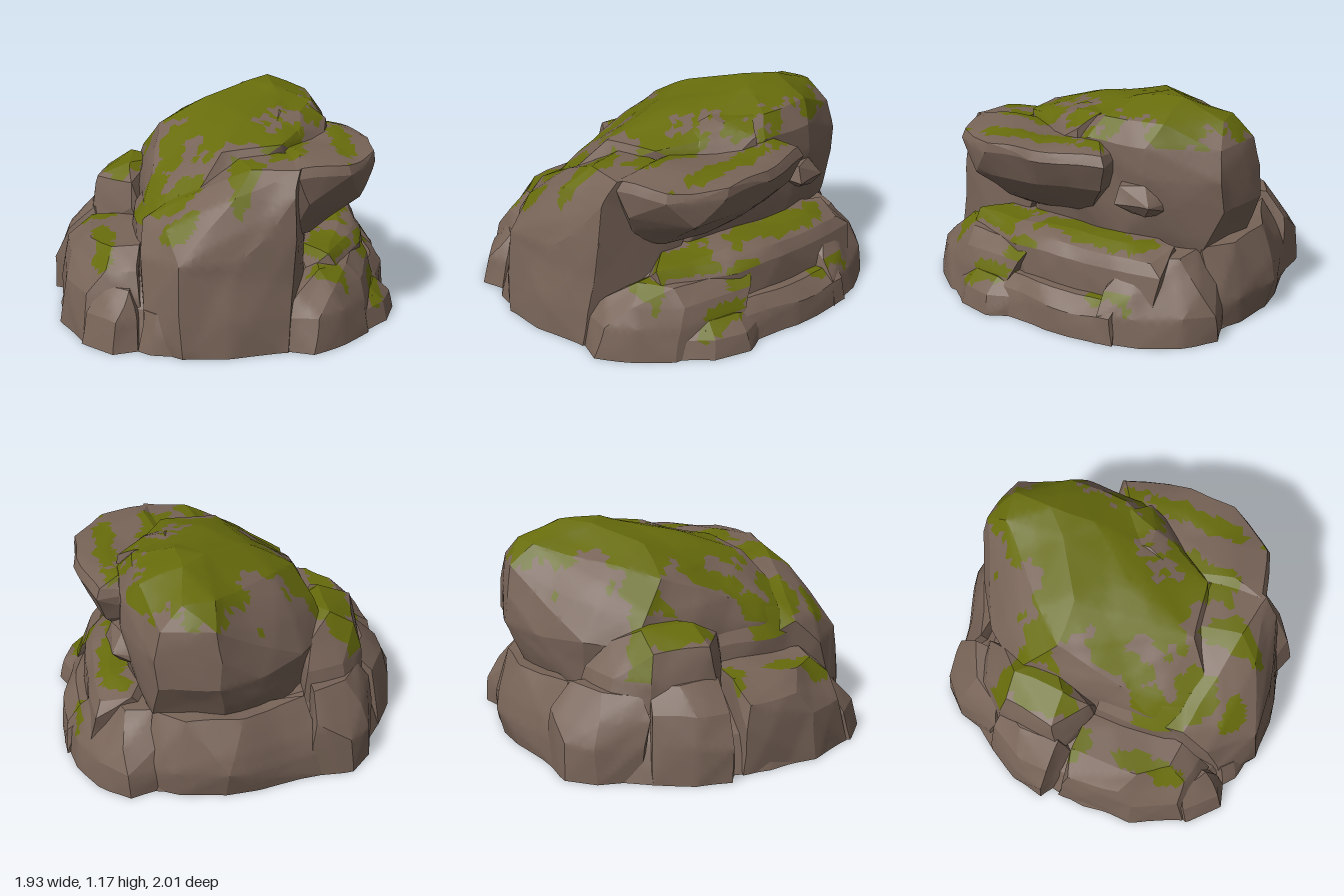
import * as THREE from 'three';
import { toCreasedNormals } from 'three/addons/utils/BufferGeometryUtils.js';
import { ConvexGeometry } from 'three/addons/geometries/ConvexGeometry.js';

// Each boulder: stacked outlines [height, [x, z, x, z, ...]] wrapped in a hull
const boulders = {
  baseCore: [
    [0, [-.9, .2, -.85, .5, -.7, .75, -.2, .95, .3, .88, .75, .6, .9, .1, .9, -.4, .6, -.86, .1, -.95, -.6, -.8, -.85, -.4]],
    [.2, [-.84, .2, -.6, .72, -.2, .9, .3, .82, .72, .5, .82, 0, .8, -.45, .55, -.8, .1, -.88, -.55, -.74, -.8, -.35]],
    [.4, [-.6, .4, 0, .75, .5, .4, .6, -.5, .1, -.78, -.5, -.6]]],
  frontWall: [
    [0, [-.4, .85, -.2, 1, .05, .98, .35, .91, .45, .5, -.4, 0]],
    [.2, [-.41, .84, -.2, .99, .07, .98, .36, .89]],
    [.48, [-.4, .76, -.2, .97, .08, .94, .37, .84, .48, .3, -.42, .2]],
    [.62, [-.4, .6, -.26, .8, .06, .89, .39, .81]],
    [.8, [-.1, .66, .08, .79, .4, .78]],
    [.92, [.16, .66, .42, .7, .48, .4, .1, .4]]],
  mainDome: [
    [.35, [-.46, -.42, -.3, -.64, .1, -.8, .45, -.74, .55, -.3, .45, .3, 0, .6, -.4, .5]],
    [.64, [-.52, -.38, -.34, -.63, -.08, -.83, .12, -.93, .44, -.87, .58, -.5, .52, .2, -.4, .4, -.24, .7]],
    [.8, [-.47, -.3, -.3, -.52, -.06, -.76, .1, -.91, .46, -.85, .61, -.5, .58, .1, -.38, .2]],
    [.96, [-.36, -.2, -.2, -.44, -.02, -.68, .13, -.87, .42, -.83, .6, -.5, .61, -.15, .34, .38, .02, .46]],
    [1.07, [-.12, -.2, 0, -.5, .12, -.75, .3, -.78, .52, -.55, .53, -.2, .1, .03]],
    [1.16, [.15, -.4, .28, -.55, .3, -.3]]],
  crest: [
    [.8, [.2, .3, .5, .3, .62, -.1, .3, -.2]],
    [1.0, [.28, .22, .42, .16, .6, -.08, .3, -.2]],
    [1.07, [.33, .04, .44, .02, .5, -.15, .3, -.2]]],
  leftShoulder: [
    [.35, [-.72, -.42, -.76, 0, -.4, .12, -.36, -.68, -.6, -.6]],
    [.52, [-.71, -.4, -.72, -.02, -.5, .1, -.38, -.64, -.58, -.56]],
    [.66, [-.67, -.36, -.69, -.05, -.5, .06, -.42, -.5]],
    [.75, [-.54, -.36, -.52, -.08, -.4, -.2]]],
  leftFrontBlock: [
    [0, [-.9, .05, -.86, .5, -.72, .78, -.42, .82, -.4, .05]],
    [.25, [-.9, .08, -.84, .5, -.7, .72, -.43, .78]],
    [.38, [-.88, .12, -.82, .4, -.6, .7, -.43, .72]],
    [.48, [-.73, .08, -.7, .45, -.58, .6, -.42, .6, -.42, .05]]],
  leftStep: [
    [.3, [-.5, .1, -.45, .6, -.25, .8, -.2, .2]],
    [.56, [-.48, .1, -.44, .45, -.32, .74, -.2, .3]],
    [.73, [-.38, .1, -.34, .36, -.22, .56, -.15, .2]]],
  leftSideRock: [
    [0, [-.96, -.03, -.94, -.22, -.84, -.42, -.6, -.2, -.7, .1]],
    [.2, [-.97, -.04, -.93, -.22, -.84, -.38]],
    [.36, [-.89, -.02, -.88, -.22, -.78, -.42]],
    [.49, [-.72, 0, -.74, -.25, -.66, -.4, -.5, -.2]]],
  backLeftRock: [
    [0, [-.77, -.45, -.73, -.7, -.6, -.84, -.38, -.86, -.4, -.4]],
    [.2, [-.78, -.45, -.7, -.7, -.58, -.82, -.38, -.84]],
    [.33, [-.76, -.42, -.66, -.66, -.4, -.82]],
    [.45, [-.68, -.45, -.58, -.62, -.4, -.72, -.4, -.4]]],
  backRock: [
    [0, [-.45, -.85, -.12, -.93, .1, -.97, .36, -.92, .5, -.86, .4, -.6, -.3, -.6]],
    [.15, [-.44, -.83, -.1, -.94, .1, -1, .36, -.92, .5, -.86]],
    [.24, [-.3, -.84, .1, -.93, .34, -.9]],
    [.43, [-.35, -.72, .02, -.88, .3, -.88, .45, -.76]]],
  backRightRock: [
    [0, [.42, -.86, .6, -.93, .76, -.8, .87, -.63, .94, -.4, .6, -.3]],
    [.15, [.42, -.86, .6, -.92, .75, -.8, .86, -.6, .92, -.4]],
    [.26, [.45, -.84, .62, -.85, .82, -.56, .84, -.4]],
    [.42, [.45, -.74, .6, -.72, .7, -.5, .5, -.4]]],
  rightLowerLedge: [
    [0, [.93, -.5, .95, -.1, .9, .1, .88, .5, .6, .5, .6, -.4]],
    [.14, [.92, -.48, .93, -.1, .88, .1, .84, .46]],
    [.21, [.84, -.5, .86, 0, .8, .35, .6, .3, .6, -.3]]],
  rightUpperLedge: [
    [.15, [.8, -.66, .82, .1, .6, .6, .3, .5, .3, -.6]],
    [.36, [.77, -.68, .8, -.1, .78, .2, .62, .6]],
    [.42, [.74, -.6, .76, -.1, .72, .2, .58, .6]],
    [.46, [.56, -.66, .66, -.4, .66, .12, .3, .2]]],
  frontRightBoulder: [
    [0, [.28, .88, .48, .93, .64, .8, .8, .64, .88, .3, .5, .3]],
    [.18, [.32, .87, .5, .89, .65, .77, .79, .58, .86, .2]],
    [.28, [.4, .8, .6, .76, .76, .54, .83, .15]],
    [.36, [.52, .68, .68, .56, .77, .1, .5, .2]]],
  rightToe: [
    [0, [.97, .28, .93, .48, .8, .61, .7, .4, .86, .05]],
    [.1, [.94, .28, .9, .45, .78, .58, .7, .4, .87, .08]],
    [.18, [.86, .26, .82, .42, .7, .4]]],
  overhangSlab: [
    [.5, [.38, .58, .5, .45, .5, -.1, .3, 0]],
    [.61, [.45, .62, .62, .46, .66, .1, .46, -.2]],
    [.72, [.48, .67, .74, .48, .78, .04, .68, -.28, .4, -.3]],
    [.87, [.42, .7, .68, .6, .83, .34, .85, .05, .74, -.33, .4, -.3]],
    [.92, [.4, .68, .66, .58, .83, .32, .83, .06, .72, -.3, .3, 0]],
    [.95, [.42, .5, .6, .4, .66, .1, .6, -.22]]],
  wedgedStone: [
    [.6, [.45, -.38, .61, -.42, .62, -.5, .45, -.6]],
    [.67, [.45, -.3, .69, -.36, .66, -.55, .45, -.6]],
    [.76, [.45, -.33, .66, -.38, .6, -.5, .45, -.56]]],
  frontLeftFootRock: [
    [0, [-.72, .8, -.54, .95, -.42, .9, -.42, .6, -.65, .6]],
    [.16, [-.7, .76, -.54, .9, -.44, .86]],
    [.3, [-.62, .7, -.48, .78, -.45, .6]]],
  frontFootRock: [
    [0, [-.42, .9, -.36, .94, -.24, .96, -.2, .7, -.42, .7]],
    [.22, [-.4, .85, -.33, .9, -.24, .9, -.3, .7]]]
};

// Moss patches: centre x, z, radius x, z, lowest and highest y
const patches = [
  // dome
  [.25, -.55, .32, .3, .8, 2], [.22, -.22, .36, .3, .8, 2], [-.14, -.26, .32, .17, .75, 2],
  [.02, 0, .25, .24, .7, 2], [.08, .25, .24, .16, .7, 2],
  // slopes in front, shoulder and slab
  [-.27, .14, .08, .2, .5, 1], [-.4, .42, .13, .14, .5, 1], [-.26, .58, .15, .14, .5, 1], [.12, .62, .09, .17, .7, 1],
  [.36, .36, .1, .24, .8, 1.05], [.66, .15, .065, .32, .8, 1], [-.57, -.22, .11, .26, .55, 1], [-.66, -.42, .05, .1, .5, 1],
  // ledges
  [-.72, .08, .12, .08, .4, .7], [-.63, .48, .07, .18, .36, .7], [.6, .42, .14, .24, .38, .5],
  [.63, -.2, .09, .4, .42, .5], [.58, .66, .13, .06, .24, .4], [.78, .15, .05, .12, .28, .4],
  [.84, .36, .06, .14, .08, .24], [.82, -.4, .06, .16, .15, .26], [-.16, .82, .1, .06, .5, .8]
];

const wave = t => Math.asin(Math.sin(t)) * 2 / Math.PI;

// Piecewise-linear ripples give chipped, angular stone
function chip(p) {
  const { x, y, z } = p;
  const a = wave(7 * x + 5 * y - 3 * z) + .6 * wave(13 * z - 9 * y + 4 * x + 1);
  const b = wave(6 * z + 8 * y + 2 * x + 2) + .6 * wave(15 * x + 7 * z - 6 * y);
  const c = wave(9 * x - 6 * z + 1) + .5 * wave(14 * z + 8 * x + 5 * y);
  return new THREE.Vector3(x + .012 * a, y + .01 * c * Math.min(1, y * 8), z + .012 * b);
}

function isMossy(p, up) {
  if (up < .3) return false;
  const ragged = .15 * Math.sin(17 * p.x + 9 * p.z + 2) + .14 * Math.sin(23 * p.z - 14 * p.x)
    + .12 * Math.sin(47 * p.x + 31 * p.z) + .1 * Math.sin(61 * p.z - 53 * p.x + 20 * p.y);
  return patches.some(([x, z, rx, rz, low, high]) => p.y > low && p.y < high &&
    Math.hypot((p.x - x) / rx, (p.z - z) / rz) + ragged < 1);
}

// Halve the longest edge until every edge is short, so neighbouring faces still meet
function split(a, b, c, add) {
  const ab = a.distanceTo(b), bc = b.distanceTo(c), ca = c.distanceTo(a);
  const longest = Math.max(ab, bc, ca);
  if (longest < .05) return add(a, b, c);
  if (ab < longest) return bc === longest ? split(b, c, a, add) : split(c, a, b, add);
  const m = a.clone().add(b).multiplyScalar(.5);
  split(a, m, c, add);
  split(m, b, c, add);
}

// Sort the small triangles of each hull into rock and moss
function boulderGeometry(sections) {
  const points = sections.flatMap(([y, o]) =>
    Array.from({ length: o.length / 2 }, (_, i) => new THREE.Vector3(o[2 * i], y, o[2 * i + 1])));
  const pos = new ConvexGeometry(points).getAttribute('position');
  const rock = [], moss = [], tri = new THREE.Triangle(), normal = new THREE.Vector3(), mid = new THREE.Vector3();
  for (let f = 0; f < pos.count; f += 3) {
    tri.setFromAttributeAndIndices(pos, f, f + 1, f + 2);
    tri.getNormal(normal);
    split(tri.a.clone(), tri.b.clone(), tri.c.clone(), (p, q, r) => {
      mid.copy(p).add(q).add(r).divideScalar(3);
      const list = isMossy(mid, normal.y) ? moss : rock;
      for (const v of [p, q, r]) list.push(...chip(v).toArray());
    });
  }
  let g = new THREE.BufferGeometry();
  g.setAttribute('position', new THREE.Float32BufferAttribute(rock.concat(moss), 3));
  g = toCreasedNormals(g, .3);
  g.clearGroups();
  g.addGroup(0, rock.length / 3, 0);
  if (moss.length) g.addGroup(rock.length / 3, moss.length / 3, 1);
  return g;
}

export function createModel() {
  const stone = new THREE.MeshStandardMaterial({ color: 0x786458 });
  stone.name = 'brown stone';
  const green = new THREE.MeshStandardMaterial({ color: 0x676c0c });
  green.name = 'green moss';
  const model = new THREE.Group();
  model.name = 'mossyRock';
  for (const [name, sections] of Object.entries(boulders)) {
    const mesh = new THREE.Mesh(boulderGeometry(sections), [stone, green]);
    mesh.name = name;
    model.add(mesh);
  }
  return model;
}
